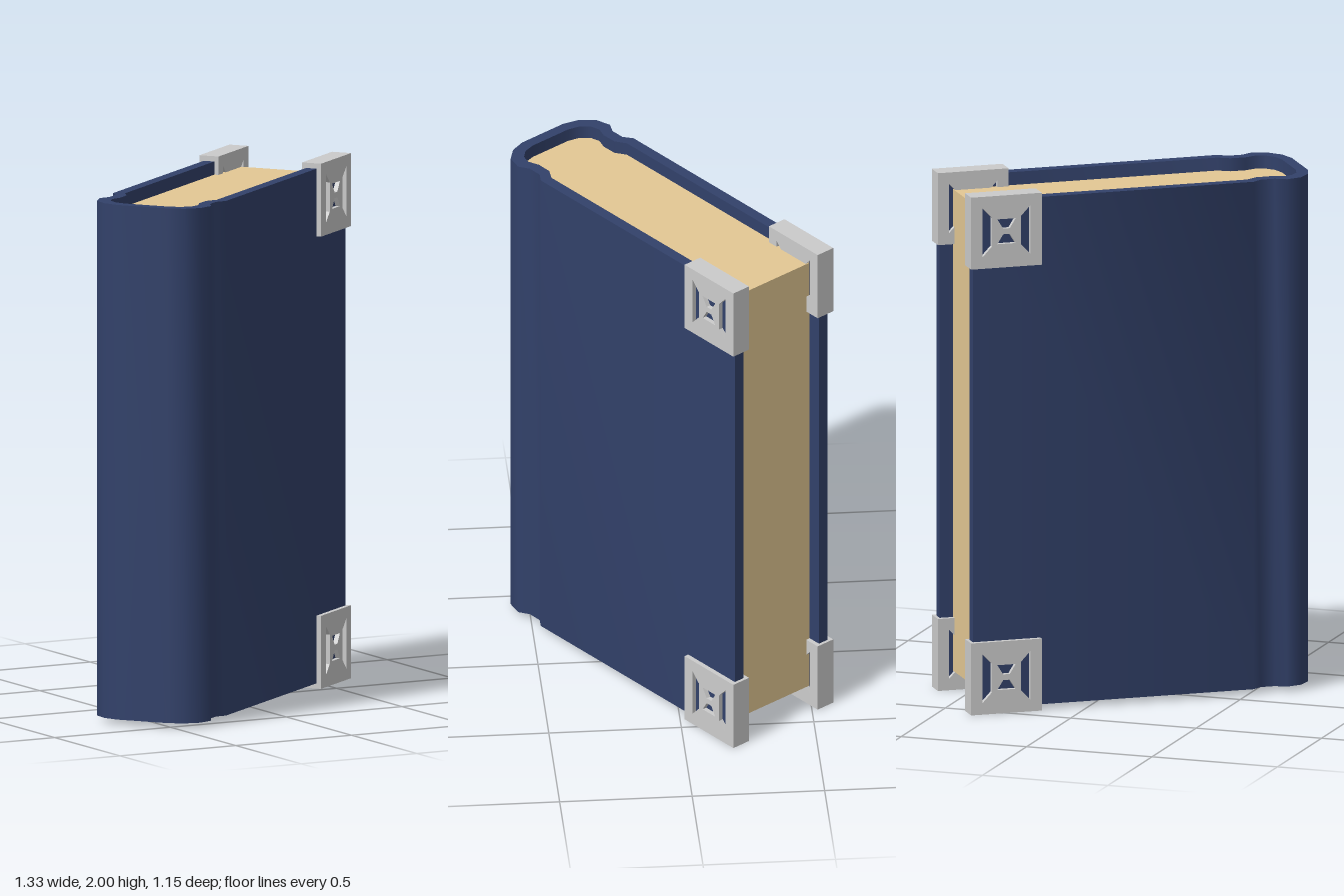
import * as THREE from 'three';
import { toCreasedNormals } from 'three/addons/utils/BufferGeometryUtils.js';

const navy = new THREE.MeshStandardMaterial({ color: 0x32416a });
const paper = new THREE.MeshStandardMaterial({ color: 0xe4c894 });
const grey = new THREE.MeshStandardMaterial({ color: 0xcccccc });

// Half outlines [along the cover, half thickness] from hinge groove to the rounded spine
const outerHalf = [[-0.475, 0.232], [-0.51, 0.207], [-0.566, 0.207], [-0.607, 0.23], [-0.668, 0.213], [-0.71, 0.165], [-0.728, 0.103]];
const innerHalf = [[-0.463, 0.189], [-0.505, 0.163], [-0.565, 0.162], [-0.607, 0.177], [-0.645, 0.167], [-0.673, 0.135], [-0.685, 0.088]];

const toPoints = (list) => list.map(([x, y]) => new THREE.Vector2(x, y));

// Complete outline, mirrored across the middle of the book, ending at the fore edge
function outline(half, endX) {
  const side = [[endX, half[0][1]], ...half];
  return toPoints([...side, ...side.map(([x, y]) => [x, -y]).reverse()]);
}

// Stand a flat outline up between two heights
function upright(points, y0, y1) {
  const geo = new THREE.ExtrudeGeometry(new THREE.Shape(points), { depth: y1 - y0, bevelEnabled: false });
  geo.rotateX(-Math.PI / 2).translate(0, y0, 0);
  return toCreasedNormals(geo, 0.9);
}

// Square corner plate pierced by two side slots and an hourglass
function cornerGeometry(size, depth) {
  const h = size / 2;
  const shape = new THREE.Shape(toPoints([[-h, -h], [h, -h], [h, h], [-h, h]]));
  for (const s of [-1, 1]) {
    const slot = [[s * 0.095, -0.095], [s * 0.095, 0.095], [s * 0.058, 0.056], [s * 0.058, -0.056]];
    const wedge = [[-0.036, s * 0.048], [0.036, s * 0.048], [0.013, s * 0.011], [-0.013, s * 0.011]];
    shape.holes.push(new THREE.Path(toPoints(slot)), new THREE.Path(toPoints(wedge)));
  }
  return new THREE.ExtrudeGeometry(shape, { depth, bevelEnabled: false }).translate(0, 0, -depth / 2);
}

export function createModel() {
  const model = new THREE.Group();
  model.name = 'book';
  const add = (name, geo, mat) => {
    const mesh = new THREE.Mesh(geo, mat);
    mesh.name = name;
    model.add(mesh);
    return mesh;
  };

  // Cover: a wrapped sheet, open at the fore edge
  const outer = outline(outerHalf, 0.631);
  const inner = outline(innerHalf, 0.631);
  add('cover', upright([...outer, ...inner.reverse()], 0.02, 1.98), navy);

  // Page block, tucked a hair into the cover
  const pages = outline(innerHalf.map(([x, y]) => [x - 0.002, y + 0.002]), 0.578);
  add('pages', upright(pages, 0.07, 1.93), paper);

  // Metal corners on both boards, top and bottom
  const corner = cornerGeometry(0.278, 0.078);
  for (const z of [-0.211, 0.211]) {
    for (const y of [0.139, 1.861]) {
      const name = (y > 1 ? 'top' : 'bottom') + (z > 0 ? 'Front' : 'Back') + 'Corner';
      add(name, corner, grey).position.set(0.504, y, z);
    }
  }

  // The book stands turned to one side
  model.rotation.y = 0.639;
  const root = new THREE.Group();
  root.add(model);
  return root;
}
